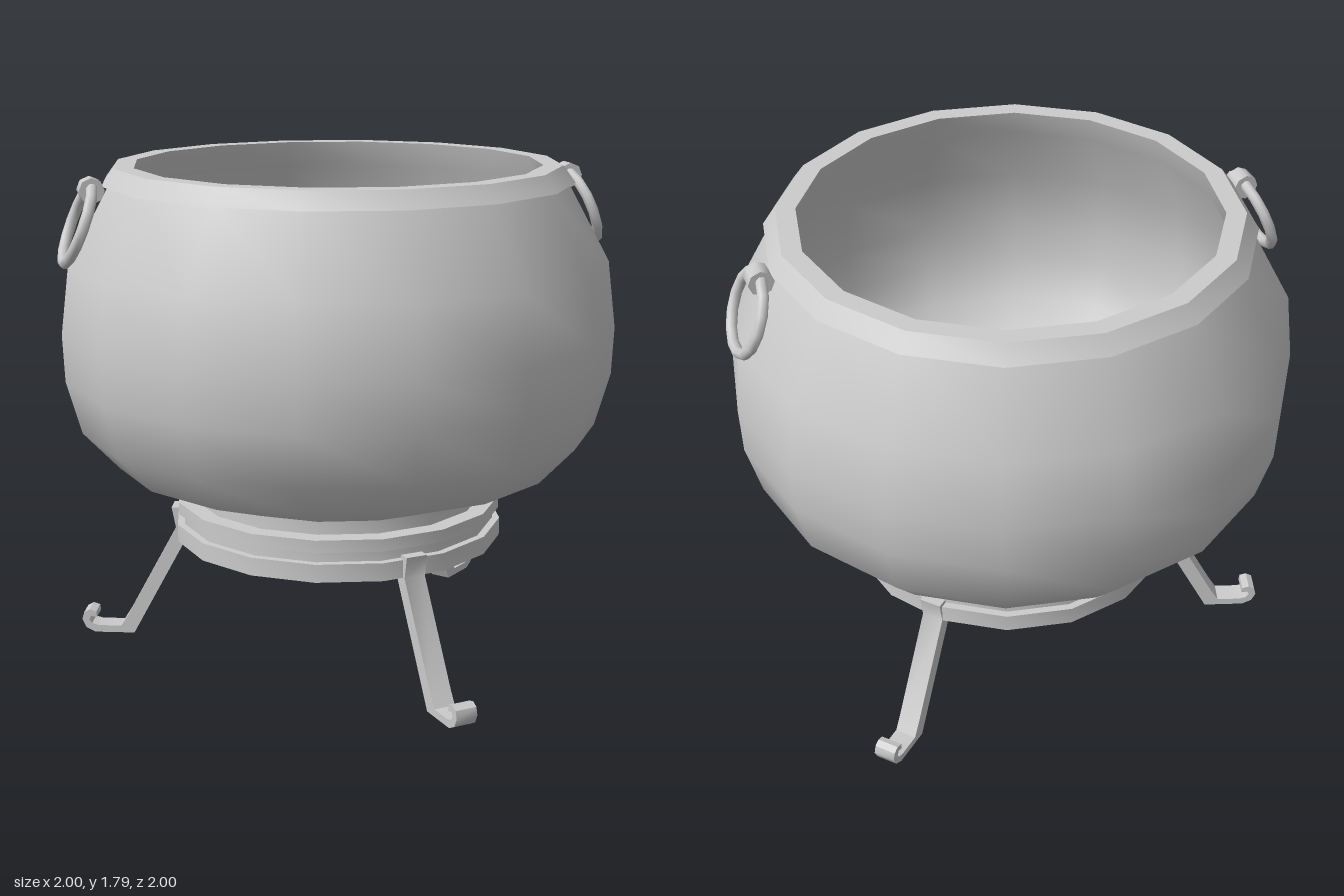
import * as THREE from 'three';
import { toCreasedNormals } from 'three/addons/utils/BufferGeometryUtils.js';

const SIDES = 16;
const material = new THREE.MeshStandardMaterial({ color: 0xcccccc });

function part(name, geometry, crease = 0.6) {
  const mesh = new THREE.Mesh(toCreasedNormals(geometry, crease), material);
  mesh.name = name;
  return mesh;
}

function lathe(name, profile) {
  const points = profile.map(([r, y]) => new THREE.Vector2(r, y));
  return part(name, new THREE.LatheGeometry(points, SIDES));
}

// Hooked foot leg: a side outline (radius, height) extruded to a flat strap
function makeLeg() {
  const outline = [
    [0.58, 0.505], [0.545, 0.425], [0.775, 0], [0.925, 0], [0.96, 0.018], [0.975, 0.05],
    [0.967, 0.078], [0.945, 0.09], [0.92, 0.082], [0.918, 0.06], [0.94, 0.064],
    [0.948, 0.05], [0.938, 0.034], [0.91, 0.027], [0.825, 0.027], [0.795, 0.075],
    [0.605, 0.425], [0.62, 0.505],
  ].map(([r, y]) => new THREE.Vector2(r, y));
  const width = 0.08;
  const geometry = new THREE.ExtrudeGeometry(new THREE.Shape(outline), { depth: width, bevelEnabled: false });
  geometry.translate(0, 0, -width / 2);
  return part('leg', geometry, 0.75);
}

// Hanging ring with the small lug that holds it, on the +x side
function makeHandle() {
  const handle = new THREE.Group();
  const ring = part('handleRing', new THREE.TorusGeometry(0.14, 0.02, 8, 14).rotateY(Math.PI / 2), 1);
  ring.position.set(0.932, 1.605, 0);
  ring.rotation.z = 0.38;
  const lug = part('handleLug', new THREE.CylinderGeometry(0.045, 0.045, 0.07, 8).rotateX(Math.PI / 2), 0.9);
  lug.position.set(0.882, 1.725, 0);
  handle.add(ring, lug);
  return handle;
}

export function createModel() {
  const model = new THREE.Group();
  model.name = 'cauldron';

  // Bowl: outer wall, rim band and inner wall in one closed profile
  model.add(lathe('bowl', [
    [0, 0.62], [0.53, 0.62], [0.81, 0.72], [0.94, 0.86], [0.993, 1.05], [1, 1.22],
    [0.97, 1.46], [0.82, 1.735], [0.845, 1.735], [0.8, 1.795], [0.73, 1.795],
    [0.76, 1.7], [0.89, 1.45], [0.92, 1.22], [0.91, 1.06], [0.86, 0.9],
    [0.74, 0.78], [0.5, 0.69], [0, 0.67],
  ]));

  // Stepped base
  model.add(lathe('base', [
    [0, 0.425], [0.605, 0.425], [0.605, 0.49], [0.578, 0.49], [0.578, 0.53],
    [0.6, 0.53], [0.6, 0.575], [0.535, 0.575], [0.535, 0.625], [0, 0.625],
  ]));

  // Three legs, evenly spaced
  for (let i = 0; i < 3; i++) {
    const leg = makeLeg();
    leg.rotation.y = THREE.MathUtils.degToRad(11 + i * 120 - 90);
    model.add(leg);
  }

  // Handles on both sides
  ['leftHandle', 'rightHandle'].forEach((name, i) => {
    const handle = makeHandle();
    handle.name = name;
    handle.rotation.y = i * Math.PI;
    model.add(handle);
  });

  return model;
}
